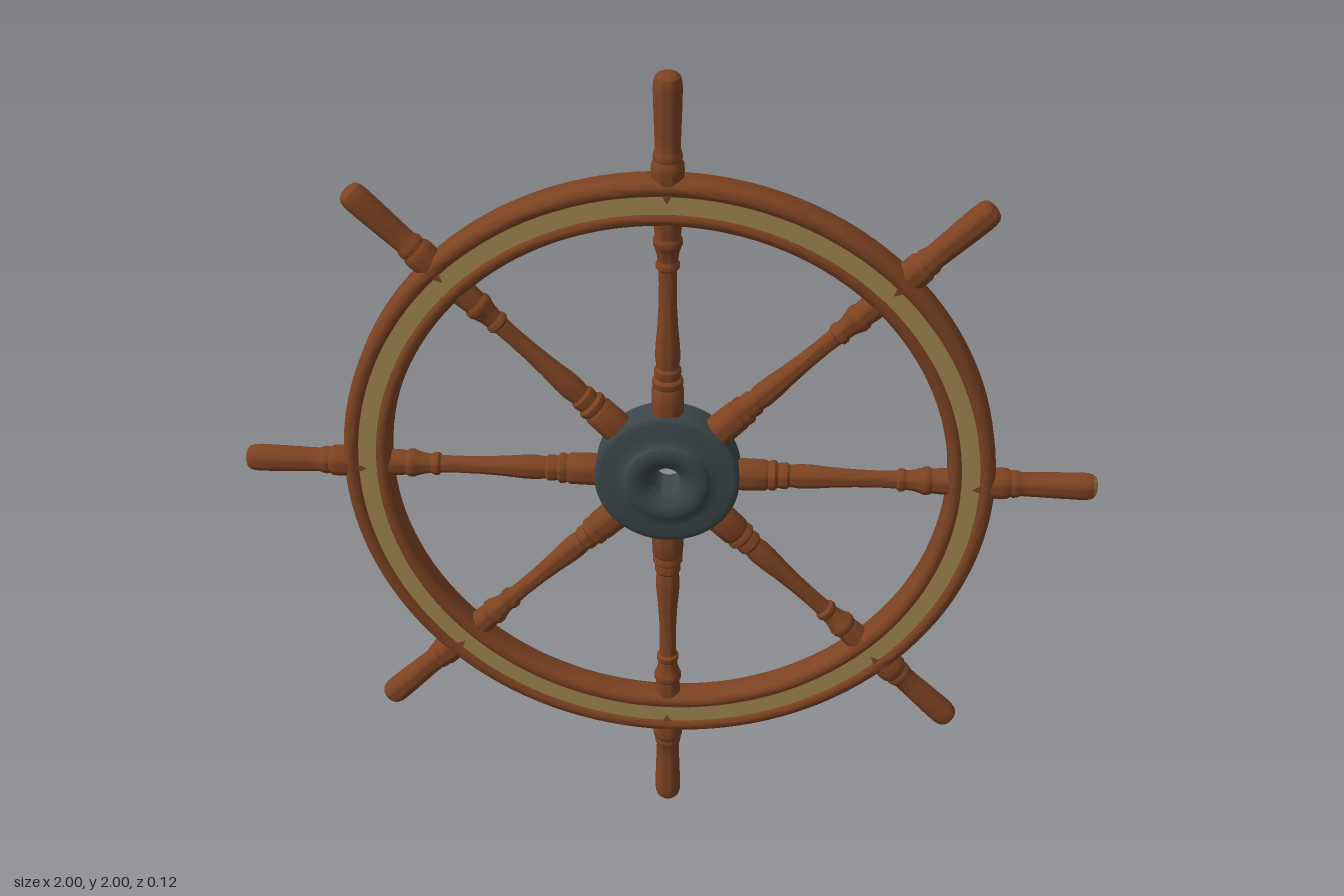
import * as THREE from 'three';
import { toCreasedNormals } from 'three/addons/utils/BufferGeometryUtils.js';

const material = (name, color) => {
  const m = new THREE.MeshStandardMaterial({ color });
  m.name = name;
  return m;
};

// Revolve [radius, height] pairs around y, keeping sharp edges
function lathe(points, segments) {
  const g = new THREE.LatheGeometry(points.map(([r, y]) => new THREE.Vector2(r, y)), segments);
  return toCreasedNormals(g, 0.6);
}

// Closed ring, symmetric front to back, from its front half listed outside to inside
function ring(half, segments) {
  const back = half.map(([r, z]) => [r, -z]).reverse();
  const g = lathe([...back, ...half, back[0]], segments);
  return g.rotateX(Math.PI / 2);
}

export function createModel() {
  const wood = material('wood', 0x7d4322);
  const brass = material('brass', 0xa08550);
  const iron = material('iron', 0x3c4648);
  const wheel = new THREE.Group();
  wheel.name = 'shipWheel';
  const add = (name, geometry, mat, parent = wheel) => {
    const mesh = new THREE.Mesh(geometry, mat);
    mesh.name = name;
    parent.add(mesh);
    return mesh;
  };

  // Moulded rim with a shallow groove on each face
  add('rim', ring([
    [0.762, 0.022], [0.757, 0.031], [0.748, 0.037], [0.738, 0.038], [0.731, 0.035],
    [0.727, 0.031], [0.683, 0.031], [0.679, 0.035], [0.672, 0.037],
    [0.662, 0.034], [0.655, 0.028], [0.652, 0.020],
  ], 128), wood);

  // Brass bands set in both grooves
  for (const side of [1, -1]) {
    const band = add(side > 0 ? 'frontInlay' : 'backInlay',
      new THREE.RingGeometry(0.684, 0.726, 128), brass);
    band.position.z = side * 0.0325;
    if (side < 0) band.rotation.y = Math.PI;
  }

  // Hub: flange, raised boss and dished centre around the axle hole
  add('hub', ring([
    [0.170, 0.036], [0.165, 0.041], [0.155, 0.043], [0.125, 0.045], [0.106, 0.047],
    [0.100, 0.051], [0.096, 0.057], [0.088, 0.060], [0.072, 0.060], [0.060, 0.057],
    [0.048, 0.050], [0.038, 0.044], [0.033, 0.038],
  ], 64), iron);

  // Turned spoke running out through the rim into its handle
  const spoke = lathe([
    [0.034, 0.12], [0.038, 0.18], [0.037, 0.228], [0.033, 0.236], [0.036, 0.243],
    [0.036, 0.252], [0.029, 0.259], [0.031, 0.270], [0.031, 0.280], [0.026, 0.287],
    [0.029, 0.310], [0.028, 0.340], [0.024, 0.385], [0.021, 0.44], [0.020, 0.50],
    [0.021, 0.535], [0.027, 0.541], [0.027, 0.551], [0.023, 0.558], [0.025, 0.575],
    [0.030, 0.592], [0.033, 0.598], [0.033, 0.610], [0.029, 0.617], [0.031, 0.64],
    [0.032, 0.70], [0.036, 0.76], [0.037, 0.778], [0.036, 0.792], [0.031, 0.800],
    [0.033, 0.808], [0.031, 0.818], [0.028, 0.825], [0.029, 0.86], [0.031, 0.92],
    [0.032, 0.965], [0.031, 0.980], [0.028, 0.990],
  ], 24);
  const tip = lathe([[0.028, 0.990], [0.023, 0.996], [0.014, 0.9995], [0, 1]], 24);

  // Eight spokes; the king spoke on the left carries a brass tip
  for (let i = 0; i < 8; i++) {
    const group = new THREE.Group();
    group.name = i === 6 ? 'kingSpoke' : 'spoke' + (i + 1);
    group.rotation.z = i * Math.PI / 4;
    add('spokeShaft', spoke, wood, group);
    add('spokeTip', tip, i === 6 ? brass : wood, group);
    wheel.add(group);
  }

  // Raise the wheel so the lowest handle rests on the ground
  wheel.children.forEach((part) => { part.position.y += 1; });
  return wheel;
}
